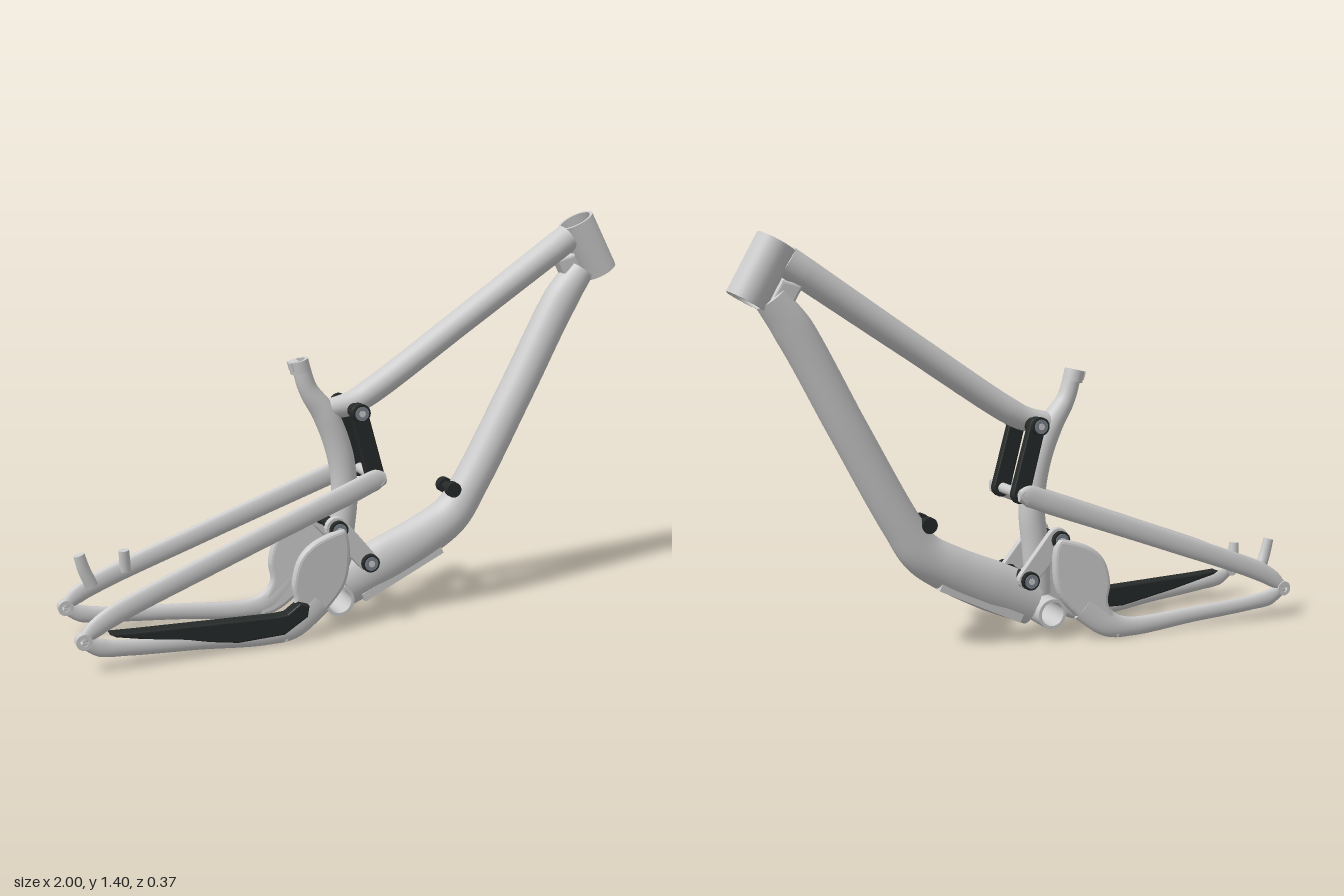
import * as THREE from 'three';

const mat = (color) => new THREE.MeshStandardMaterial({ color, side: THREE.DoubleSide });
const GREY = mat(0xcccccc), DARK = mat(0x262a29), BOLT = mat(0x7c838c);

// Elliptical tube along a curve; each point is [x, y, z, halfHeight, halfWidth]
function sweep(points, steps = 40, sides = 28) {
  const curve = new THREE.CatmullRomCurve3(points.map((p) => new THREE.Vector3(p[0], p[1], p[2])), false, 'centripetal');
  const pos = [], idx = [], n = new THREE.Vector3(), side = new THREE.Vector3();
  const zAxis = new THREE.Vector3(0, 0, 1), last = points.length - 1;
  const ring = (u) => {
    const c = curve.getPoint(u), t = curve.getTangent(u);
    n.crossVectors(zAxis, t).normalize();
    side.crossVectors(t, n);
    const k = Math.min(Math.floor(u * last), last - 1), f = u * last - k;
    const a = THREE.MathUtils.lerp(points[k][3], points[k + 1][3], f);
    const b = THREE.MathUtils.lerp(points[k][4], points[k + 1][4], f);
    const start = pos.length / 3;
    for (let j = 0; j < sides; j++) {
      const w = (j / sides) * Math.PI * 2;
      const p = c.clone().addScaledVector(n, a * Math.cos(w)).addScaledVector(side, b * Math.sin(w));
      pos.push(p.x, p.y, p.z);
    }
    return start;
  };
  for (let i = 0; i <= steps; i++) {
    const r = ring(i / steps);
    if (i === 0) continue;
    for (let j = 0; j < sides; j++) {
      const k = (j + 1) % sides, q = r - sides;
      idx.push(q + j, q + k, r + k, q + j, r + k, r + j);
    }
  }
  // flat end caps with their own vertices
  for (const u of [0, 1]) {
    const r = ring(u);
    for (let j = 1; j < sides - 1; j++) idx.push(r, r + j + (u ? 0 : 1), r + j + (u ? 1 : 0));
  }
  const g = new THREE.BufferGeometry();
  g.setAttribute('position', new THREE.Float32BufferAttribute(pos, 3));
  g.setIndex(idx);
  g.computeVertexNormals();
  return g;
}

// Bevelled plate from an xy outline; zAt(x, y) bends it sideways
function plate(outline, thick, bevel, zAt, smooth = false) {
  const pts = outline.map((p) => new THREE.Vector2(p[0], p[1]));
  const shape = new THREE.Shape();
  if (smooth) {
    shape.moveTo(pts[0].x, pts[0].y);
    shape.splineThru([...pts.slice(1), pts[0]]);
  } else shape.setFromPoints(pts);
  const g = new THREE.ExtrudeGeometry(shape, {
    depth: thick - 2 * bevel, bevelEnabled: true, bevelThickness: bevel,
    bevelSize: bevel, bevelOffset: -bevel, bevelSegments: 3, curveSegments: 6,
  });
  g.translate(0, 0, bevel - thick / 2);
  const p = g.attributes.position;
  for (let i = 0; i < p.count; i++) p.setZ(i, p.getZ(i) + zAt(p.getX(i), p.getY(i)));
  g.computeVertexNormals();
  return g;
}

// Link with rounded ends between two pivots
function linkOutline(ax, ay, ra, bx, by, rb) {
  const dir = Math.atan2(by - ay, bx - ax), out = [];
  for (let i = 0; i <= 8; i++) {
    const w = dir + Math.PI / 2 + (i / 8) * Math.PI;
    out.push([ax + ra * Math.cos(w), ay + ra * Math.sin(w)]);
  }
  for (let i = 0; i <= 8; i++) {
    const w = dir - Math.PI / 2 + (i / 8) * Math.PI;
    out.push([bx + rb * Math.cos(w), by + rb * Math.sin(w)]);
  }
  return out;
}

// Hollow cylinder along y, centred
function pipe(R, r, len) {
  const h = len / 2;
  const prof = [[r, -h], [R, -h], [R, -h], [R, h], [R, h], [r, h], [r, h], [r, -h]];
  return new THREE.LatheGeometry(prof.map((p) => new THREE.Vector2(p[0], p[1])), 40);
}

export function createModel() {
  const root = new THREE.Group();
  const add = (name, geo, m = GREY) => {
    const mesh = new THREE.Mesh(geo, m);
    mesh.name = name;
    root.add(mesh);
    return mesh;
  };
  const pin = (name, x, y, z0, z1, r, m) =>
    add(name, new THREE.CylinderGeometry(r, r, Math.abs(z1 - z0), 24).rotateX(Math.PI / 2).translate(x, y, (z0 + z1) / 2), m);

  // Front triangle
  const head = add('headTube', pipe(0.065, 0.055, 0.209));
  head.position.set(0.889, 1.284, 0);
  head.rotation.z = Math.atan2(0.102, 0.182);
  add('topTube', sweep([[-0.09, 0.765, 0, 0.035, 0.035], [-0.01, 0.78, 0, 0.042, 0.04], [0.06, 0.815, 0, 0.045, 0.044],
    [0.4, 1.04, 0, 0.046, 0.046], [0.75, 1.275, 0, 0.05, 0.048], [0.81, 1.315, 0, 0.05, 0.046]]));
  add('downTube', sweep([[-0.04, 0.14, 0, 0.085, 0.048], [0.12, 0.212, 0, 0.088, 0.056], [0.27, 0.285, 0, 0.08, 0.06],
    [0.37, 0.35, 0, 0.073, 0.061], [0.44, 0.45, 0, 0.066, 0.061], [0.62, 0.78, 0, 0.064, 0.06],
    [0.79, 1.1, 0, 0.064, 0.056], [0.862, 1.2, 0, 0.052, 0.052]], 64));
  add('headGusset', plate([[0.76, 1.24], [0.83, 1.26], [0.875, 1.18], [0.81, 1.15]], 0.05, 0.01, () => 0));
  add('seatTube', sweep([[-0.192, 0.925, 0, 0.03, 0.03], [-0.165, 0.84, 0, 0.032, 0.032], [-0.1, 0.74, 0, 0.044, 0.042],
    [-0.05, 0.6, 0, 0.046, 0.044], [-0.035, 0.465, 0, 0.046, 0.044], [-0.05, 0.32, 0, 0.048, 0.044],
    [-0.06, 0.165, 0, 0.045, 0.04]], 50));
  const clamp = add('seatClamp', pipe(0.035, 0.024, 0.04));
  clamp.position.set(-0.195, 0.92, 0);
  clamp.rotation.z = 0.25;
  const lug = add('seatClampLug', new THREE.BoxGeometry(0.03, 0.03, 0.045));
  lug.position.set(-0.213, 0.922, 0);
  lug.rotation.z = 0.25;
  add('bottomBracket', pipe(0.053, 0.042, 0.15).rotateX(Math.PI / 2).translate(-0.08, 0.105, 0));
  const cover = add('downTubeCover', new THREE.BoxGeometry(0.33, 0.03, 0.085));
  cover.position.set(0.17, 0.165, 0);
  cover.rotation.z = 0.45;

  // Small dark fitting on the down tube
  pin('tubeFittingAxle', 0.36, 0.45, -0.045, 0.045, 0.016, DARK);
  for (const s of [1, -1]) pin('tubeFittingEnd', 0.36, 0.45, s * 0.022, s * 0.05, 0.027, DARK);

  // Pivot axles
  pin('upperLinkAxle', -0.015, 0.765, -0.11, 0.11, 0.023, DARK);
  pin('lowerRockerAxle', 0.045, 0.535, -0.13, 0.13, 0.018, GREY);
  pin('frameLinkAxle', 0.02, 0.24, -0.08, 0.08, 0.02, DARK);
  pin('yokeLinkAxle', -0.095, 0.37, -0.08, 0.08, 0.02, DARK);

  for (const s of [1, -1]) {
    // Links and their bolts
    add('upperLink', plate(linkOutline(-0.015, 0.765, 0.03, 0.047, 0.535, 0.032), 0.03, 0.006, () => s * 0.077), DARK);
    add('lowerLink', plate(linkOutline(-0.095, 0.37, 0.04, 0.02, 0.24, 0.034), 0.022, 0.005, () => s * 0.074));
    for (const [x, y] of [[-0.015, 0.765], [-0.095, 0.37], [0.02, 0.24]]) {
      pin('pivotCollar', x, y, s * 0.06, s * 0.1, 0.024, DARK);
      pin('pivotCap', x, y, s * 0.096, s * 0.114, 0.031, DARK);
      pin('pivotBolt', x, y, s * 0.112, s * 0.117, 0.024, BOLT);
      pin('pivotBoltCentre', x, y, s * 0.116, s * 0.119, 0.011, GREY);
    }

    // Seat stay
    add('seatStay', sweep([[0.068, 0.537, s * 0.117, 0.02, 0.012], [0.035, 0.535, s * 0.118, 0.037, 0.015],
      [-0.06, 0.5, s * 0.122, 0.038, 0.016], [-0.5, 0.337, s * 0.144, 0.036, 0.016],
      [-0.87, 0.195, s * 0.163, 0.035, 0.016], [-0.935, 0.158, s * 0.166, 0.03, 0.015],
      [-0.978, 0.122, s * 0.168, 0.018, 0.013]], 50));
    // Chain stay and its yoke blade
    add('chainStay', sweep([[-0.978, 0.122, s * 0.168, 0.02, 0.013], [-0.92, 0.092, s * 0.166, 0.03, 0.015],
      [-0.84, 0.08, s * 0.163, 0.027, 0.016], [-0.6, 0.062, s * 0.15, 0.028, 0.017], [-0.35, 0.045, s * 0.135, 0.034, 0.018],
      [-0.27, 0.062, s * 0.13, 0.045, 0.019], [-0.18, 0.14, s * 0.122, 0.06, 0.017]], 50));
    add('chainStayYoke', plate([[-0.31, 0.012], [-0.25, 0.025], [-0.17, 0.08], [-0.08, 0.18], [-0.06, 0.29], [-0.075, 0.37],
      [-0.12, 0.37], [-0.2, 0.34], [-0.25, 0.29], [-0.272, 0.21], [-0.265, 0.14], [-0.3, 0.07]],
      0.032, 0.014, (x) => s * (0.113 - 0.08 * (x + 0.08)), true));
    // Dropout
    add('dropout', pipe(0.026, 0.013, 0.034).rotateX(Math.PI / 2).translate(-0.974, 0.122, s * 0.167));
  }

  // Chain stay guard, one side only
  add('chainStayGuard', plate([[-0.89, 0.13], [-0.8, 0.127], [-0.34, 0.115], [-0.3, 0.118], [-0.255, 0.15], [-0.222, 0.138],
    [-0.228, 0.1], [-0.31, 0.048], [-0.47, 0.042], [-0.68, 0.078], [-0.87, 0.118]], 0.048, 0.006, () => 0.143), DARK);

  // Brake mounts on the other side
  add('rearBrakeMount', sweep([[-0.885, 0.19, -0.15, 0.022, 0.018], [-0.91, 0.25, -0.146, 0.021, 0.016],
    [-0.925, 0.305, -0.145, 0.019, 0.016]], 10, 20));
  add('frontBrakeMount', sweep([[-0.77, 0.23, -0.15, 0.02, 0.016], [-0.775, 0.305, -0.143, 0.018, 0.015]], 6, 20));
  return root;
}
